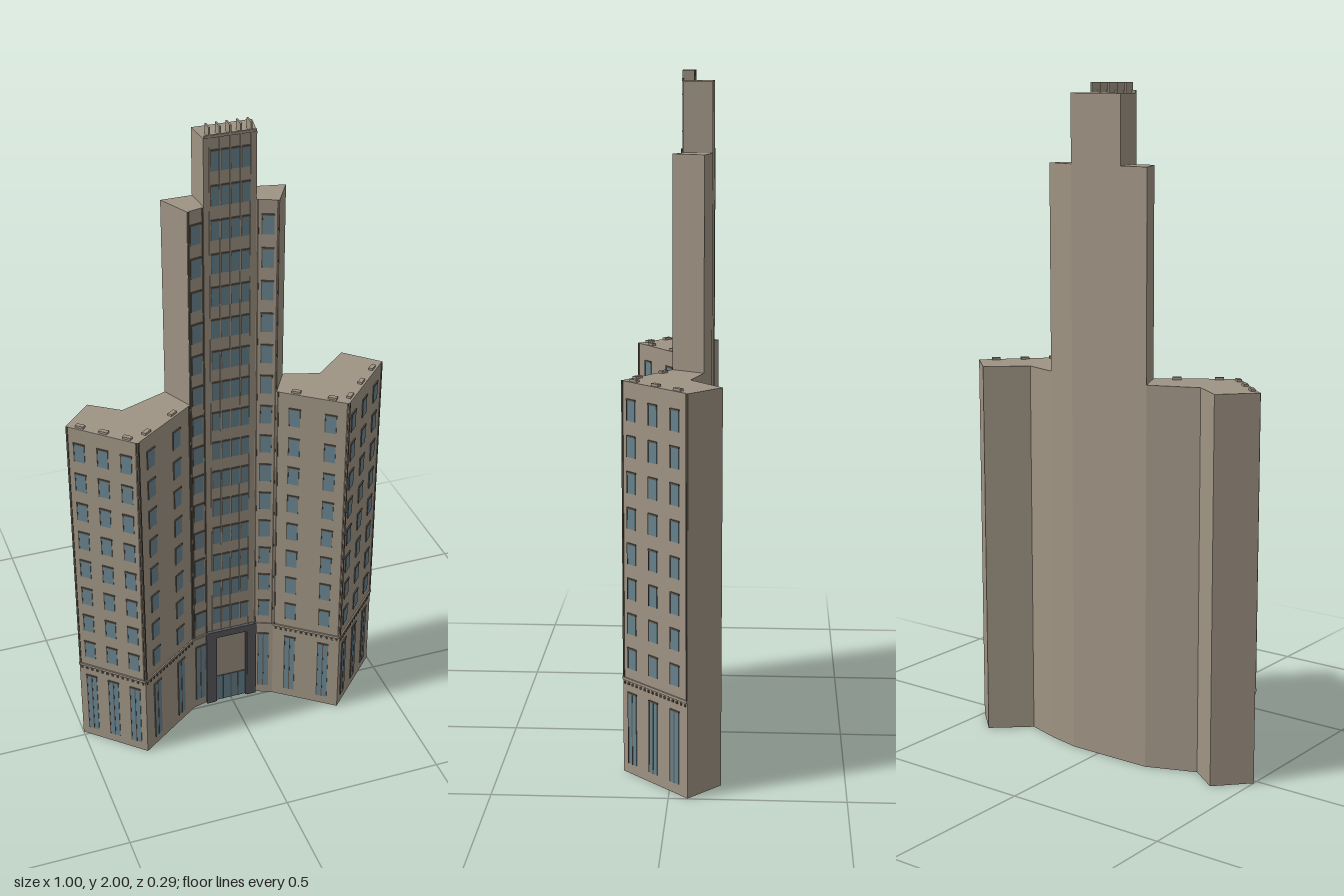
import * as THREE from 'three';

const material = (name, color) => {
  const m = new THREE.MeshStandardMaterial({ color });
  m.name = name;
  return m;
};

export function createModel() {
  const model = new THREE.Group();
  model.name = 'tower';
  const stone = material('stone', 0x9f9484);
  const brown = material('dark brown trim', 0x5e554b);
  const glass = material('blue grey glass', 0x68838e);
  const slate = material('slate portal', 0x5a5a5d);

  // Plan corners [x, z]: front from left to right, then back
  const front = [[-0.5, -0.015], [-0.333, 0.14], [-0.13, -0.006], [-0.077, -0.02],
    [0.077, -0.02], [0.135, 0.006], [0.31, 0.14], [0.498, -0.054]];
  const back = [[0.403, -0.145], [0.295, -0.052], [0.188, -0.085], [0.093, -0.105],
    [-0.083, -0.105], [-0.175, -0.104], [-0.322, -0.046], [-0.41, -0.109]];

  // Upright prism over a plan outline
  function prism(name, outline, y0, y1) {
    const shape = new THREE.Shape(outline.map(([x, z]) => new THREE.Vector2(x, -z)));
    const geo = new THREE.ExtrudeGeometry(shape, { depth: y1 - y0, bevelEnabled: false });
    geo.rotateX(-Math.PI / 2);
    const mesh = new THREE.Mesh(geo, stone);
    mesh.position.y = y0;
    mesh.name = name;
    model.add(mesh);
  }
  prism('mainBlock', [...front, ...back], 0, 1.155);
  prism('towerShaft', [...front.slice(2, 6), ...back.slice(2, 6)], 1.155, 1.77);
  prism('towerCrown', [front[3], front[4], back[3], back[4]], 1.77, 1.97);

  function box(parent, name, mat, w, h, d, x, y, z) {
    const mesh = new THREE.Mesh(new THREE.BoxGeometry(w, h, d), mat);
    mesh.position.set(x, y, z);
    mesh.name = name;
    parent.add(mesh);
  }

  // Window pane with a slim lintel
  function windowAt(wall, x, y, w, h) {
    box(wall, 'windowPane', glass, w, h, 0.004, x, y, 0);
    box(wall, 'lintel', brown, w + 0.003, 0.005, 0.007, x, y + h / 2, 0);
    box(wall, 'windowJamb', brown, 0.003, h, 0.006, x - w / 2, y, 0);
  }

  // Facades: local x runs along the wall, local z points outward
  const columns = [[-0.47, -0.415, -0.36], [-0.285, -0.185], [-0.105],
    [-0.045, -0.015, 0.015, 0.045], [0.107], [0.18, 0.268], [0.338, 0.4, 0.462]];
  const rows = [8, 8, 14, 16, 14, 8, 8];
  const tops = [1.155, 1.155, 1.77, 1.97, 1.77, 1.155, 1.155];
  const beltY = 0.285;

  columns.forEach((xs, i) => {
    const [a, b] = [front[i], front[i + 1]];
    const dx = b[0] - a[0], dz = b[1] - a[1];
    const length = Math.hypot(dx, dz);
    const wall = new THREE.Group();
    wall.name = 'facade' + (i + 1);
    wall.position.set(a[0], 0, a[1]);
    wall.rotation.y = -Math.atan2(dz, dx);
    model.add(wall);
    const centre = i === 3;
    const wing = i < 2 || i > 4;

    for (const x of xs) {
      const s = ((x - a[0]) / dx) * length;
      const w = centre ? 0.025 : 0.034;
      for (let r = 0; r < rows[i]; r++) windowAt(wall, s, 0.35 + r * 0.1035, w, 0.06);
      if (!centre) {
        windowAt(wall, s, 0.138, w, 0.215);
        box(wall, 'mullion', brown, 0.003, 0.215, 0.006, s, 0.138, 0);
      }
      if (wing) box(wall, 'roofBlock', stone, 0.026, 0.008, 0.013, s, 1.158, -0.013);
    }

    if (centre) return;
    // Belt course with dentils
    box(wall, 'beltCourse', stone, length, 0.008, 0.008, length / 2, beltY, 0);
    if (wing) {
      const count = Math.round(length / 0.017);
      for (let k = 0; k < count; k++) {
        box(wall, 'dentil', brown, 0.006, 0.007, 0.006, ((k + 0.5) * length) / count, beltY - 0.012, 0);
      }
    }
    // Slim strips at the wall ends
    const h = tops[i] - beltY;
    for (const s of [0.004, length - 0.004]) {
      box(wall, 'cornerStrip', brown, 0.005, h, 0.005, s, beltY + h / 2, 0);
    }
  });

  // Vertical fins on the centre bay, rising past the crown
  for (let k = -2; k <= 2; k++) {
    box(model, 'fin', stone, 0.004, 1.68, 0.005, k * 0.03, 1.13, -0.0195);
    box(model, 'finTop', stone, 0.005, 0.03, 0.034, k * 0.03, 1.985, -0.034);
  }
  box(model, 'crownCurb', stone, 0.15, 0.008, 0.005, 0, 1.974, -0.019);

  // Entrance portal
  const portal = new THREE.Group();
  portal.name = 'entrance';
  portal.position.z = -0.02;
  model.add(portal);
  for (const side of [-1, 1]) {
    box(portal, 'portalPier', slate, 0.03, 0.29, 0.02, side * 0.069, 0.145, 0);
    box(portal, 'portalInnerPier', slate, 0.006, 0.27, 0.014, side * 0.052, 0.135, 0);
  }
  box(portal, 'portalHead', slate, 0.108, 0.025, 0.02, 0, 0.2775, 0);
  box(portal, 'portalPanel', stone, 0.1, 0.165, 0.004, 0, 0.1825, 0);
  box(portal, 'entranceDoors', glass, 0.1, 0.1, 0.004, 0, 0.05, 0);
  for (const x of [-0.025, 0, 0.025]) box(portal, 'doorBar', slate, 0.003, 0.1, 0.007, x, 0.05, 0);
  box(portal, 'doorHead', slate, 0.1, 0.004, 0.007, 0, 0.1, 0);

  return model;
}
